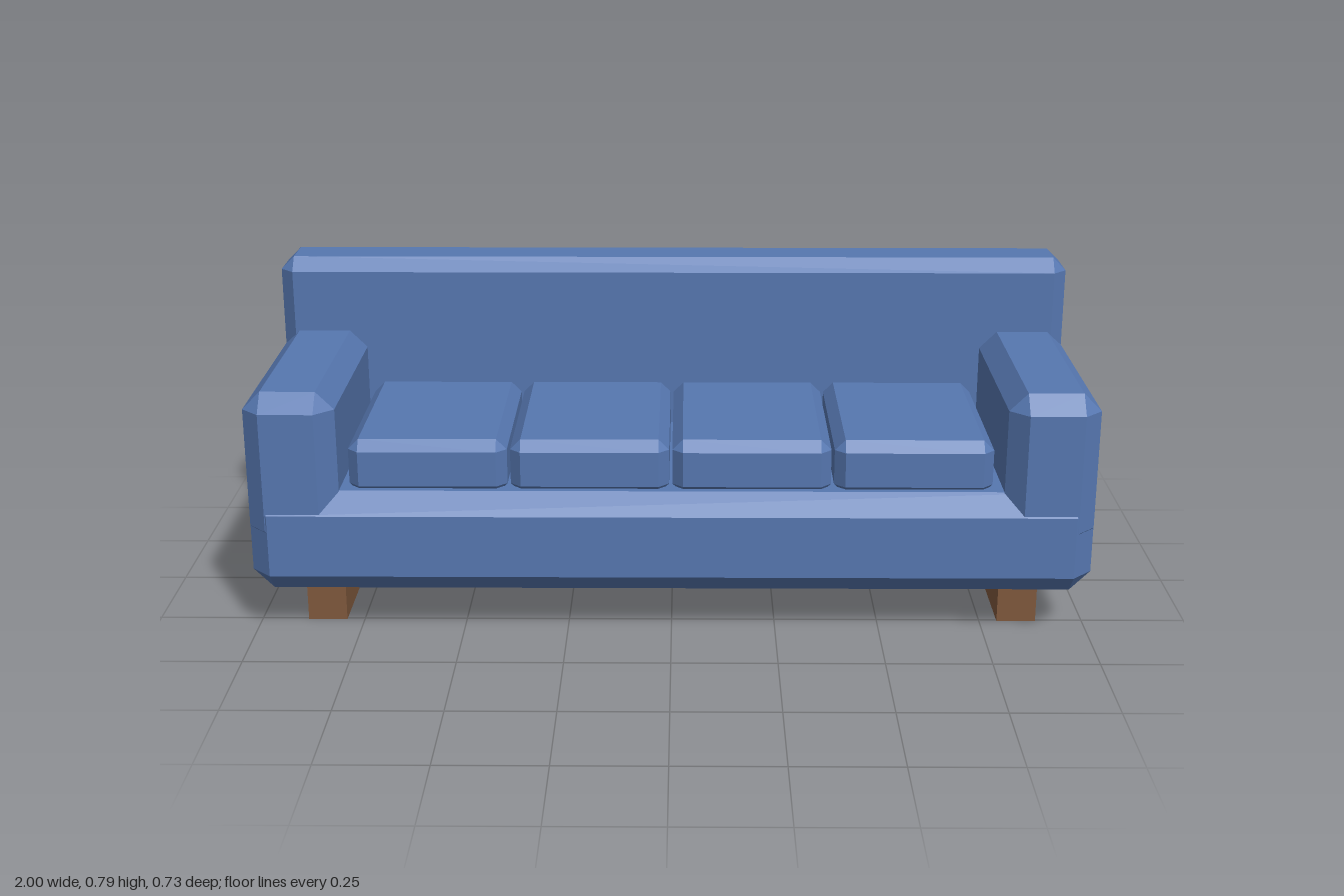
import * as THREE from 'three';
import { ConvexGeometry } from 'three/addons/geometries/ConvexGeometry.js';

const fabric = new THREE.MeshStandardMaterial({ color: 0x5677b0 });
fabric.name = 'blue fabric';
const wood = new THREE.MeshStandardMaterial({ color: 0x80593d });
wood.name = 'brown wood';

// Box from min to max corner with every edge cut at 45 degrees by c
function chamferBox(min, max, c) {
  const mid = min.map((v, i) => (v + max[i]) / 2);
  const half = min.map((v, i) => (max[i] - v) / 2);
  const points = [];
  for (const sx of [-1, 1]) for (const sy of [-1, 1]) for (const sz of [-1, 1]) {
    for (let full = 0; full < 3; full++) {
      const p = [sx, sy, sz].map((s, i) => mid[i] + s * (half[i] - (i === full ? 0 : c)));
      points.push(new THREE.Vector3(...p));
    }
  }
  return new ConvexGeometry(points);
}

export function createModel() {
  const sofa = new THREE.Group();
  sofa.name = 'sofa';

  function add(name, geometry, material) {
    const mesh = new THREE.Mesh(geometry, material);
    mesh.name = name;
    sofa.add(mesh);
  }

  // Seat base and backrest
  add('base', chamferBox([-1, 0.11, -0.316], [1, 0.358, 0.364], 0.048), fabric);
  add('backrest', chamferBox([-1, 0.217, -0.364], [1, 0.79, -0.198], 0.033), fabric);

  // Armrests and runner legs on both sides
  for (const [side, s] of [['left', 1], ['right', -1]]) {
    const span = (a, b) => (s > 0 ? [a, b] : [-b, -a]);
    const [a0, a1] = span(0.785, 1);
    add(side + 'Armrest', chamferBox([a0, 0.227, -0.285], [a1, 0.603, 0.361], 0.043), fabric);

    const leg = new THREE.BoxGeometry(0.094, 0.115, 0.463);
    leg.translate(s * 0.84, 0.0575, 0.0245);
    add(side + 'Leg', leg, wood);
  }

  // Row of four seat cushions
  for (let i = 0; i < 4; i++) {
    const x = -0.577 + i * 0.3835;
    add('cushion' + (i + 1),
      chamferBox([x - 0.188, 0.34, -0.194], [x + 0.188, 0.475, 0.306], 0.025), fabric);
  }

  return sofa;
}
